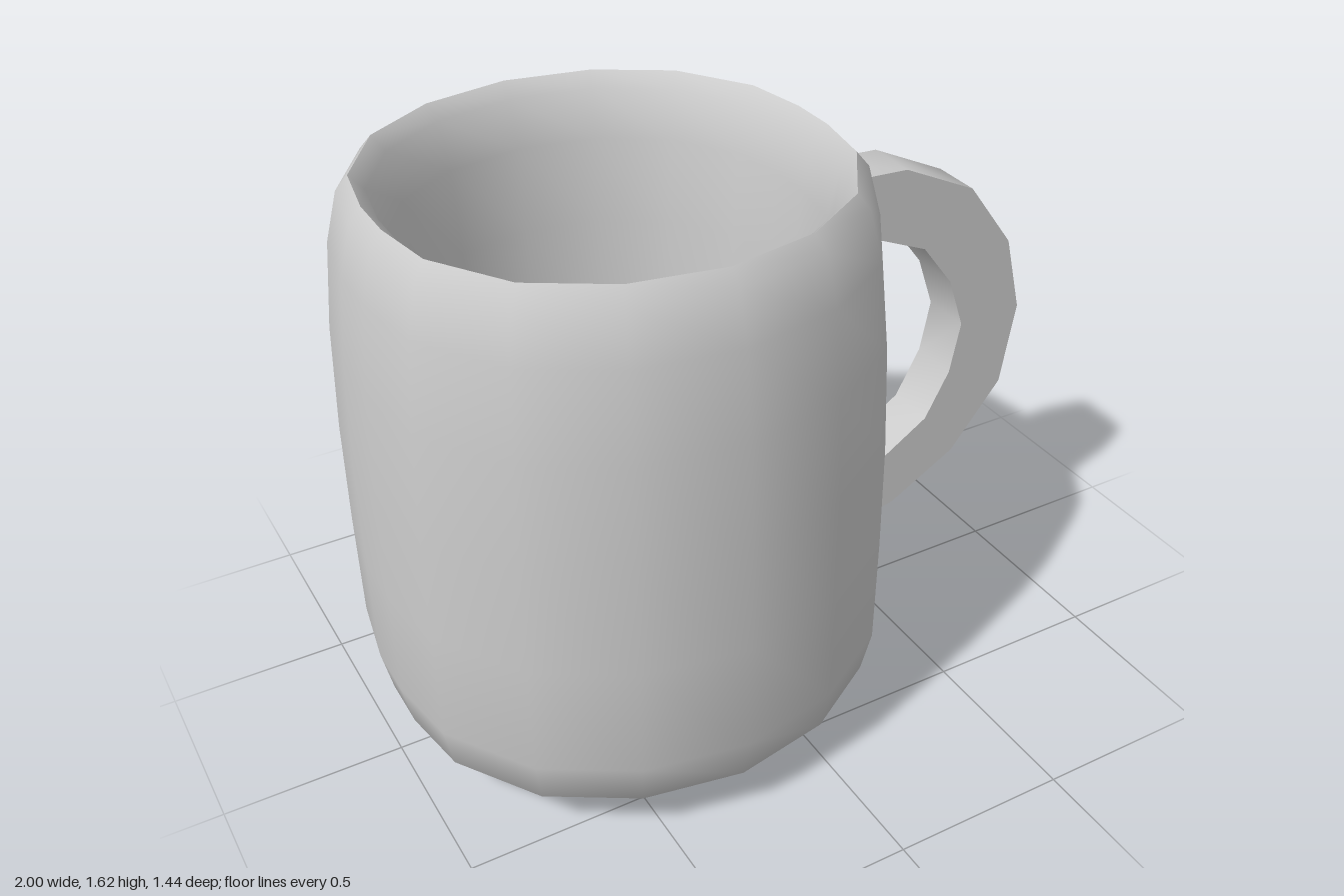
import * as THREE from 'three';
import { toCreasedNormals } from 'three/addons/utils/BufferGeometryUtils.js';

const vectors = (list) => list.map(([x, y]) => new THREE.Vector2(x, y));

// Columns of a quarter turn: angle from the z axis, and radius factor
const QUARTER = [[0, 1], [23, 1.007], [44.5, 1.022], [66.5, 1.014], [83.5, 0.986]];

function columns() {
  const half = [...QUARTER, ...QUARTER.slice(1).reverse().map(([a, f]) => [180 - a, f])];
  return [...half, ...half.map(([a, f]) => [a + 180, f]), [360, 1]].filter(
    ([a], i, all) => i === 0 || a !== all[i - 1][0]
  );
}

// Lathe with uneven columns, so that the sides are flat towards the handle
function unevenLathe(profile) {
  const cols = [];
  for (const c of columns()) cols.push(c);
  if (!cols.some(([a]) => a === 180)) {
    cols.push([180, 1]);
    cols.sort((p, q) => p[0] - q[0]);
  }
  const geometry = new THREE.LatheGeometry(profile, cols.length - 1);
  const pos = geometry.attributes.position;
  cols.forEach(([deg, factor], i) => {
    const a = THREE.MathUtils.degToRad(deg % 360);
    profile.forEach((p, j) => {
      const r = p.x * factor;
      pos.setXYZ(i * profile.length + j, r * Math.sin(a), p.y, r * Math.cos(a));
    });
  });
  return toCreasedNormals(geometry, Math.PI / 3);
}

export function createModel() {
  const group = new THREE.Group();
  group.name = 'mug';
  const material = new THREE.MeshStandardMaterial({ color: 0xcccccc });

  // Cup: up the outside, over the sharp rim, down the thick inner wall to the floor
  const profile = vectors([
    [0, 0], [0.27, 0.007], [0.47, 0.035], [0.61, 0.08], [0.688, 0.155], [0.715, 0.28],
    [0.718, 0.6], [0.716, 0.9], [0.704, 1.2], [0.68, 1.44], [0.645, 1.575], [0.612, 1.615],
    [0.575, 1.575], [0.545, 1.44], [0.525, 1.2], [0.513, 0.9], [0.508, 0.6],
    [0.503, 0.4], [0.485, 0.29], [0.43, 0.235], [0.3, 0.21], [0, 0.2],
  ]);
  const cup = new THREE.Mesh(unevenLathe(profile), material);
  cup.name = 'cup';
  cup.position.x = -0.3;
  group.add(cup);

  // Handle: a flat-sided loop, outer edge down and inner edge back up
  const outline = vectors([
    [0.36, 1.44], [0.56, 1.43], [0.79, 1.32], [0.94, 1.12], [1, 0.89],
    [0.96, 0.64], [0.8, 0.44], [0.59, 0.32], [0.39, 0.275],
    [0.39, 0.445], [0.55, 0.5], [0.69, 0.59], [0.765, 0.73], [0.795, 0.885],
    [0.74, 1.04], [0.64, 1.17], [0.49, 1.235], [0.37, 1.23],
  ]);
  const width = 0.15;
  const loop = new THREE.ExtrudeGeometry(new THREE.Shape(outline), { depth: width, bevelEnabled: false });
  loop.translate(0, 0, -width / 2);
  const handle = new THREE.Mesh(toCreasedNormals(loop, Math.PI / 4), material);
  handle.name = 'handle';
  group.add(handle);

  return group;
}
